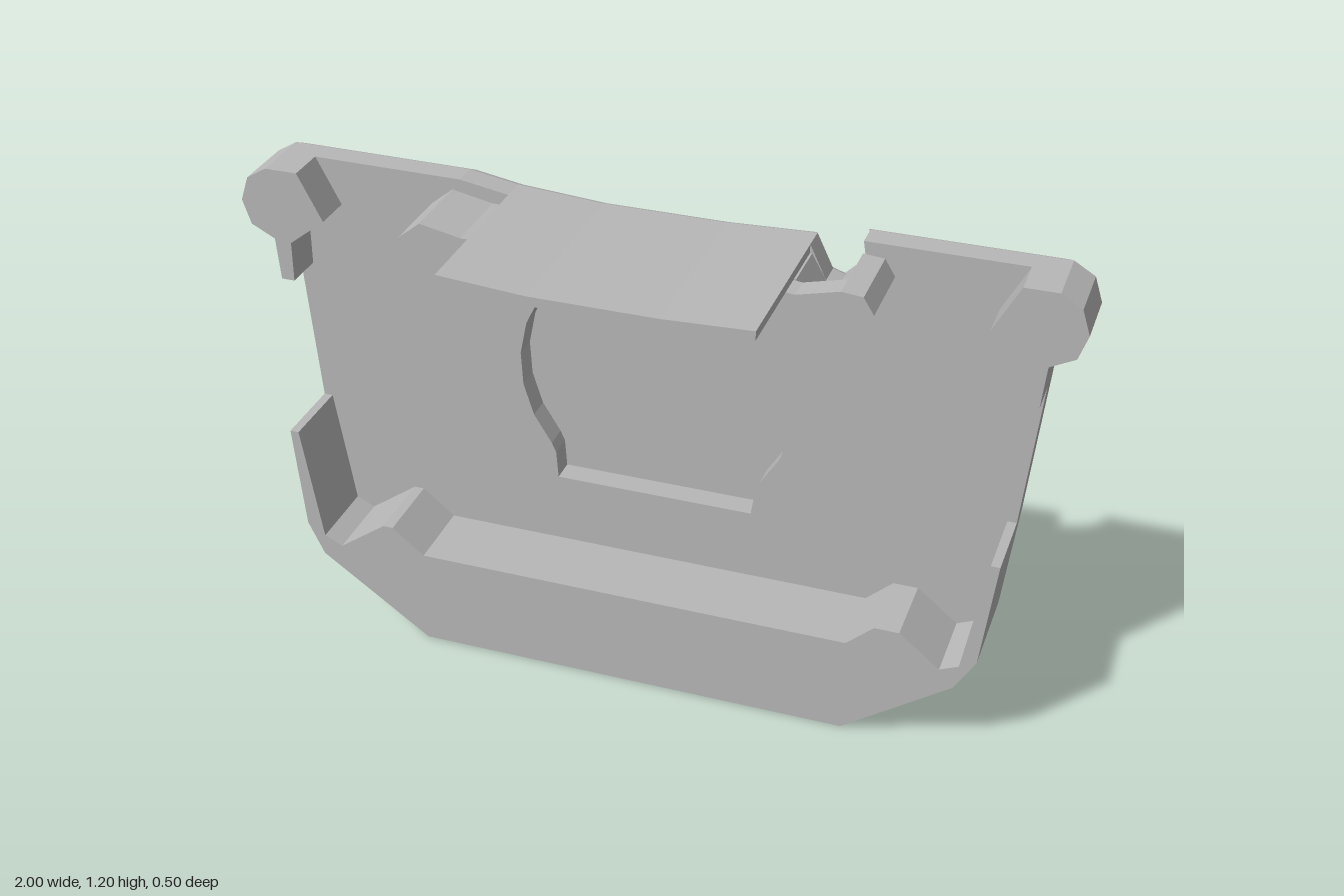
import * as THREE from 'three';

const grey = new THREE.MeshStandardMaterial({ color: 0xb8b8b8 });
grey.name = 'plainGrey';

const toShape = (pts) => new THREE.Shape(pts.map(([x, y]) => new THREE.Vector2(x, y)));
const mirror = (pts) => pts.map(([x, y]) => [-x, y]);

// Flat outline pushed along z from z0 to z1
function slab(name, pts, z0, z1, holes = []) {
  const shape = toShape(pts);
  shape.holes = holes.map((h) => new THREE.Path(h.map(([x, y]) => new THREE.Vector2(x, y))));
  const geo = new THREE.ExtrudeGeometry(shape, { depth: z1 - z0, bevelEnabled: false });
  geo.translate(0, 0, z0);
  const mesh = new THREE.Mesh(geo, grey);
  mesh.name = name;
  return mesh;
}

function arc(cx, cy, r, from, to, n) {
  return Array.from({ length: n + 1 }, (_, i) => {
    const a = from + (to - from) * i / n;
    return [cx + r * Math.cos(a), cy + r * Math.sin(a)];
  });
}

export function createModel() {
  const group = new THREE.Group();
  group.name = 'coverPlate';

  const outline = [
    [-0.54, 0], [0.54, 0], [0.8, 0.185], [0.85, 0.27], [0.88, 0.545], [0.922, 1.02],
    [0.98, 1.05], [1, 1.11], [0.98, 1.17], [0.93, 1.2],
    [0.48, 1.2], [0.49, 1.14], [0.43, 1.08], [0.4, 1.09], [0.36, 1.172],
    [0.15, 1.163], [-0.15, 1.163], [-0.36, 1.178], [-0.48, 1.198],
    [-0.93, 1.2], [-0.98, 1.17], [-1, 1.11], [-0.98, 1.05], [-0.922, 1.02],
    [-0.88, 0.545], [-0.855, 0.28], [-0.815, 0.195],
  ];
  const screwHole = arc(-0.62, 0.13, 0.045, 0, Math.PI * 2, 12).slice(0, -1);
  const recess = [[-0.25, 0.43], [0.245, 0.43], [0.255, 0.5],
    ...arc(0, 0.74, 0.342, -0.68, Math.PI + 0.68, 18), [-0.255, 0.5]];

  // Back panel: chamfered skin, closed recess floor, then the recessed layer
  const skin = slab('backSkin', outline, -0.25, -0.23, [screwHole]);
  const pos = skin.geometry.attributes.position;
  for (let i = 0; i < pos.count; i++) {
    if (pos.getZ(i) < -0.24) {
      pos.setX(i, pos.getX(i) * 0.985);
      pos.setY(i, 0.6 + (pos.getY(i) - 0.6) * 0.985);
    }
  }
  skin.geometry.computeVertexNormals();
  group.add(skin);
  group.add(slab('innerPanel', outline, -0.23, -0.17, [screwHole, recess]));

  // Bottom wall with raised corner bosses and thin side walls
  group.add(slab('bottomWall', [
    [-0.54, 0], [0.54, 0], [0.8, 0.185], [0.85, 0.27], [0.88, 0.545], [0.858, 0.545],
    [0.81, 0.25], [0.765, 0.23], [0.665, 0.31], [0.605, 0.31], [0.54, 0.25],
    [-0.54, 0.25], [-0.62, 0.315], [-0.645, 0.315], [-0.765, 0.228], [-0.81, 0.25],
    [-0.858, 0.545], [-0.88, 0.545], [-0.855, 0.28], [-0.815, 0.195],
  ], -0.17, 0.02));

  // Corner ears, each with a small lug below
  const ear = [
    [0.85, 1.2], [0.79, 1.085], [0.88, 1.015], [0.88, 0.915], [0.913, 0.915],
    [0.922, 1.02], [0.98, 1.05], [1, 1.11], [0.98, 1.17], [0.93, 1.2],
  ];
  group.add(slab('leftEar', ear, -0.17, -0.07));
  group.add(slab('rightEar', mirror(ear), -0.17, -0.07));

  // Clip blocks beneath the tab; the left one is hollowed behind its front wall
  const clip = [[0.32, 1.15], [0.32, 1.075], [0.5, 1.03], [0.555, 1.125], [0.53, 1.16], [0.48, 1.17]];
  const rightClip = [...clip.slice(0, 4), [0.5, 1.17], [0.4, 1.15]];
  group.add(slab('rightClip', mirror(rightClip), -0.17, 0.02));
  group.add(slab('leftClipFront', [
    [0.32, 1.15], [0.32, 1.065], [0.47, 1.035], [0.51, 1.04], [0.555, 1.125], [0.53, 1.165], [0.48, 1.17], [0.38, 1.145],
  ], -0.04, 0.02));
  group.add(slab('leftClipBack', [
    [0.32, 1.15], [0.32, 1.065], [0.47, 1.035], [0.51, 1.04], [0.555, 1.125], [0.53, 1.165],
    [0.48, 1.17], [0.49, 1.14], [0.43, 1.08], [0.4, 1.09], [0.365, 1.15],
  ], -0.17, -0.04));

  // Thin curved tab reaching forward from the top edge
  group.add(slab('topTab', [
    [-0.36, 1.178], [-0.36, 1.155], [-0.15, 1.14], [0.15, 1.14], [0.36, 1.15],
    [0.36, 1.172], [0.15, 1.163], [-0.15, 1.163],
  ], -0.17, 0.25));

  return group;
}
